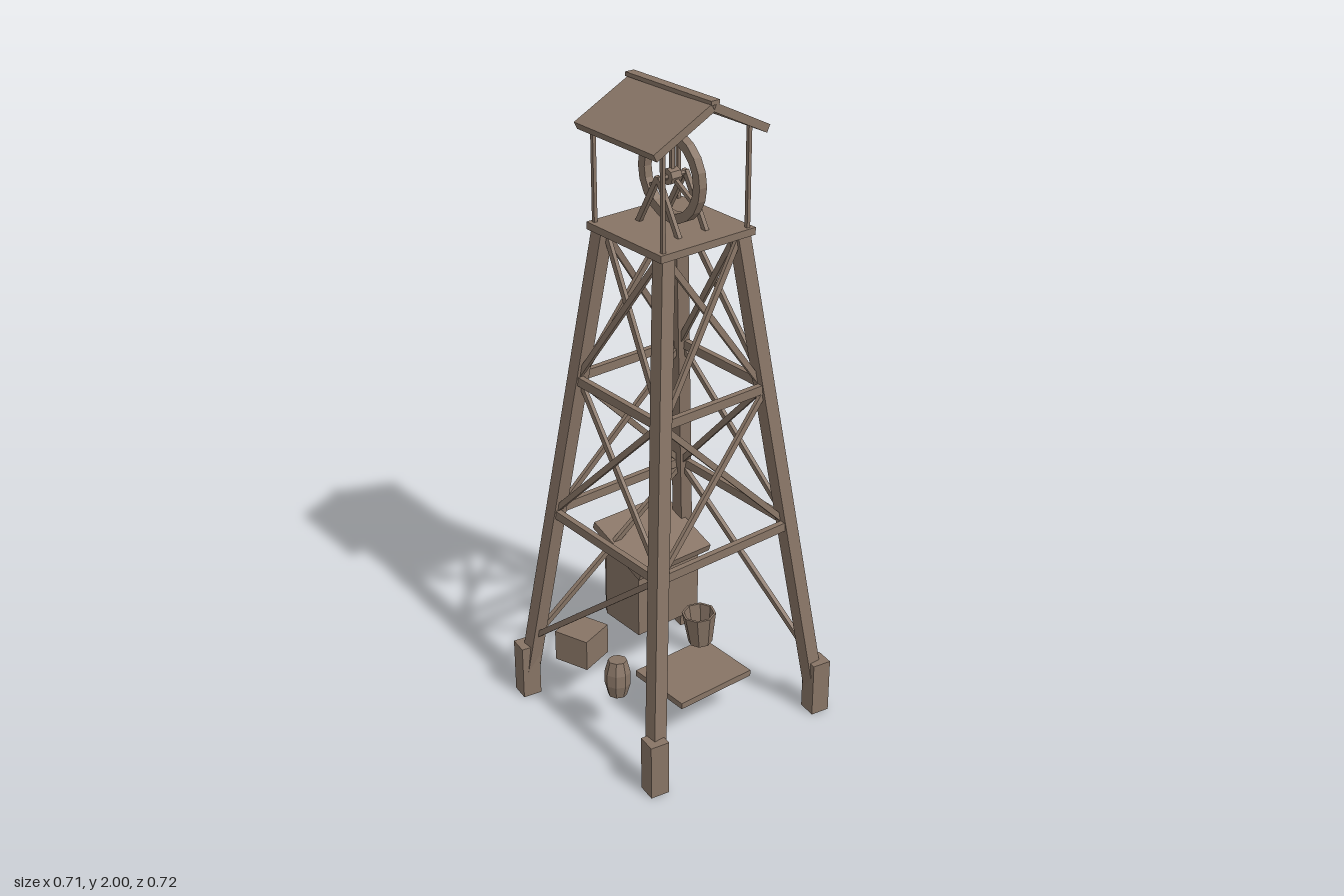
import * as THREE from 'three';

const wood = new THREE.MeshStandardMaterial({ color: 0x877465 });
wood.name = 'weathered wood';
wood.flatShading = true;

const V = (x, y, z) => new THREE.Vector3(x, y, z);

function add(parent, name, geometry, x = 0, y = 0, z = 0) {
  const mesh = new THREE.Mesh(geometry, wood);
  mesh.name = name;
  mesh.position.set(x, y, z);
  parent.add(mesh);
  return mesh;
}

function box(parent, name, w, h, d, x, y, z) {
  return add(parent, name, new THREE.BoxGeometry(w, h, d), x, y, z);
}

// Straight timber between two points
function beam(parent, name, a, b, w, d = w) {
  const dir = b.clone().sub(a);
  const mesh = box(parent, name, w, dir.length(), d, 0, 0, 0);
  mesh.position.copy(a).add(b).multiplyScalar(0.5);
  mesh.quaternion.setFromUnitVectors(V(0, 1, 0), dir.normalize());
  return mesh;
}

function group(parent, name, x = 0, y = 0, z = 0) {
  const g = new THREE.Group();
  g.name = name;
  g.position.set(x, y, z);
  parent.add(g);
  return g;
}

// Distance of a leg from the centre planes at height y
const lean = (y) => 0.327 - 0.1214 * y;

function buildTower(model) {
  const tower = group(model, 'tower');
  for (const sx of [-1, 1]) for (const sz of [-1, 1]) {
    const foot = box(tower, 'footing', 0.06, 0.18, 0.06, sx * 0.322, 0.09, sz * 0.322);
    foot.rotation.y = -0.16;
    const low = lean(0.06), high = lean(1.585);
    beam(tower, 'leg', V(sx * low, 0.06, sz * low), V(sx * high, 1.585, sz * high), 0.044);
  }
  for (let k = 0; k < 4; k++) {
    const side = group(tower, 'towerSide');
    side.rotation.y = k * Math.PI / 2;
    // Horizontal rails
    for (const y of [0.667, 1.118]) {
      const h = lean(y);
      box(side, 'rail', 2 * h - 0.01, 0.028, 0.018, 0, y, h + 0.008);
    }
    // Crossed braces of the two upper bays
    for (const [y0, y1] of [[0.68, 1.105], [1.13, 1.575]]) {
      for (const s of [-1, 1]) {
        const a = lean(y0), b = lean(y1), o = s * 0.006;
        beam(side, 'brace', V(-s * (a - 0.01), y0, a + o), V(s * (b - 0.01), y1, b + o), 0.018, 0.012);
      }
    }
    // Single brace of the bottom bay, absent at the front
    if (k > 0) {
      const s = k === 2 ? -1 : 1, a = lean(0.21), b = lean(0.66);
      beam(side, 'lowBrace', V(-s * a, 0.21, a), V(s * b, 0.66, b), 0.018, 0.014);
    }
  }
  box(tower, 'platform', 0.336, 0.022, 0.33, 0, 1.592, 0);
}

function buildRoof(model) {
  const roof = group(model, 'roof');
  for (const s of [-1, 1]) {
    for (const z of [-0.15, 0.15]) box(roof, 'roofPost', 0.011, 0.31, 0.011, s * 0.15, 1.755, z);
    const slab = box(roof, 'roofSlab', 0.216, 0.024, 0.35, s * 0.097, 1.932, 0.003);
    slab.rotation.set(0, s * 0.015, -s * 0.47);
  }
  box(roof, 'ridgeCap', 0.03, 0.012, 0.354, 0, 1.994, 0.003).rotation.y = 0.02;
}

function buildWheel(model) {
  const wheel = group(model, 'pulleyWheel', 0, 1.747, 0.005);
  // Rim with a rectangular section
  const r = [[0.105, -0.013], [0.133, -0.013], [0.133, 0.013], [0.105, 0.013], [0.105, -0.013]];
  const rim = new THREE.LatheGeometry(r.map(([a, b]) => new THREE.Vector2(a, b)), 20);
  rim.rotateZ(Math.PI / 2);
  add(wheel, 'rim', rim);
  for (let i = 0; i < 3; i++) {
    const a = i * Math.PI * 2 / 3;
    beam(wheel, 'spoke', V(0, 0, 0), V(0, Math.cos(a) * 0.11, Math.sin(a) * 0.11), 0.012);
  }
  const hub = new THREE.CylinderGeometry(0.024, 0.024, 0.036, 8).rotateZ(Math.PI / 2);
  add(wheel, 'hub', hub);
  add(wheel, 'axle', new THREE.CylinderGeometry(0.008, 0.008, 0.11, 6).rotateZ(Math.PI / 2));
  // Trestles carrying the axle
  for (const x of [-0.048, 0.048]) for (const s of [-1, 1]) {
    beam(wheel, 'trestleLeg', V(x, 0.005, 0), V(x, -0.147, s * 0.088), 0.013, 0.016);
  }
}

function buildShed(model) {
  const shed = group(model, 'shed');
  // Side profile with sloping top, extruded across the width
  const profile = new THREE.Shape([[0.16, 0.155], [0.328, 0.155], [0.328, 0.46], [0.16, 0.4]]
    .map(([z, y]) => new THREE.Vector2(z, y)));
  const body = new THREE.ExtrudeGeometry(profile, { depth: 0.245, bevelEnabled: false });
  body.rotateY(Math.PI / 2);
  add(shed, 'shedBody', body);
  // The profile runs along -z after turning
  const planks = [[0.028, 0.05], [0.085, 0.056], [0.15, 0.064], [0.213, 0.056]];
  planks.forEach(([x, w], i) => {
    const h = 0.29 + (i % 2) * 0.01;
    box(shed, 'backPlank', w, h, 0.008, x, 0.45 - h / 2, -0.332);
  });
  const top = box(shed, 'shedRoof', 0.286, 0.026, 0.25, 0.123, 0.437, -0.245);
  top.rotation.x = 0.34;
}

function buildProps(model) {
  const props = group(model, 'props');
  box(props, 'board', 0.275, 0.02, 0.222, 0, 0.157, 0.11);

  // Tapered open bucket
  const cup = [[0, 0], [0.037, 0], [0.052, 0.104], [0.045, 0.104], [0.034, 0.012], [0, 0.012]];
  const bucket = add(props, 'bucket',
    new THREE.LatheGeometry(cup.map(([a, b]) => new THREE.Vector2(a, b)), 8), 0, 0.295, 0.142);
  bucket.rotation.z = 0.06;

  // Bulging barrel
  const stave = [[0, 0], [0.029, 0], [0.04, 0.04], [0.04, 0.078], [0.029, 0.118], [0, 0.118]];
  const barrel = add(props, 'barrel',
    new THREE.LatheGeometry(stave.map(([a, b]) => new THREE.Vector2(a, b)), 8), -0.238, 0.147, 0.036);
  barrel.rotation.set(-0.06, 0, -0.06);

  // Crate with a hollow underside
  const crate = group(props, 'crate', -0.2, 0.2, -0.195);
  crate.rotation.y = 0.33;
  box(crate, 'crateLid', 0.118, 0.012, 0.118, 0, 0.044, 0);
  for (const s of [-1, 1]) {
    box(crate, 'crateSide', 0.012, 0.09, 0.118, s * 0.053, -0.007, 0);
    box(crate, 'crateEnd', 0.094, 0.09, 0.012, 0, -0.007, s * 0.053);
  }
  box(crate, 'crateFloor', 0.094, 0.008, 0.094, 0, -0.03, 0);
}

export function createModel() {
  const model = new THREE.Group();
  model.name = 'mineTower';
  buildTower(model);
  buildRoof(model);
  buildWheel(model);
  buildShed(model);
  buildProps(model);
  return model;
}
